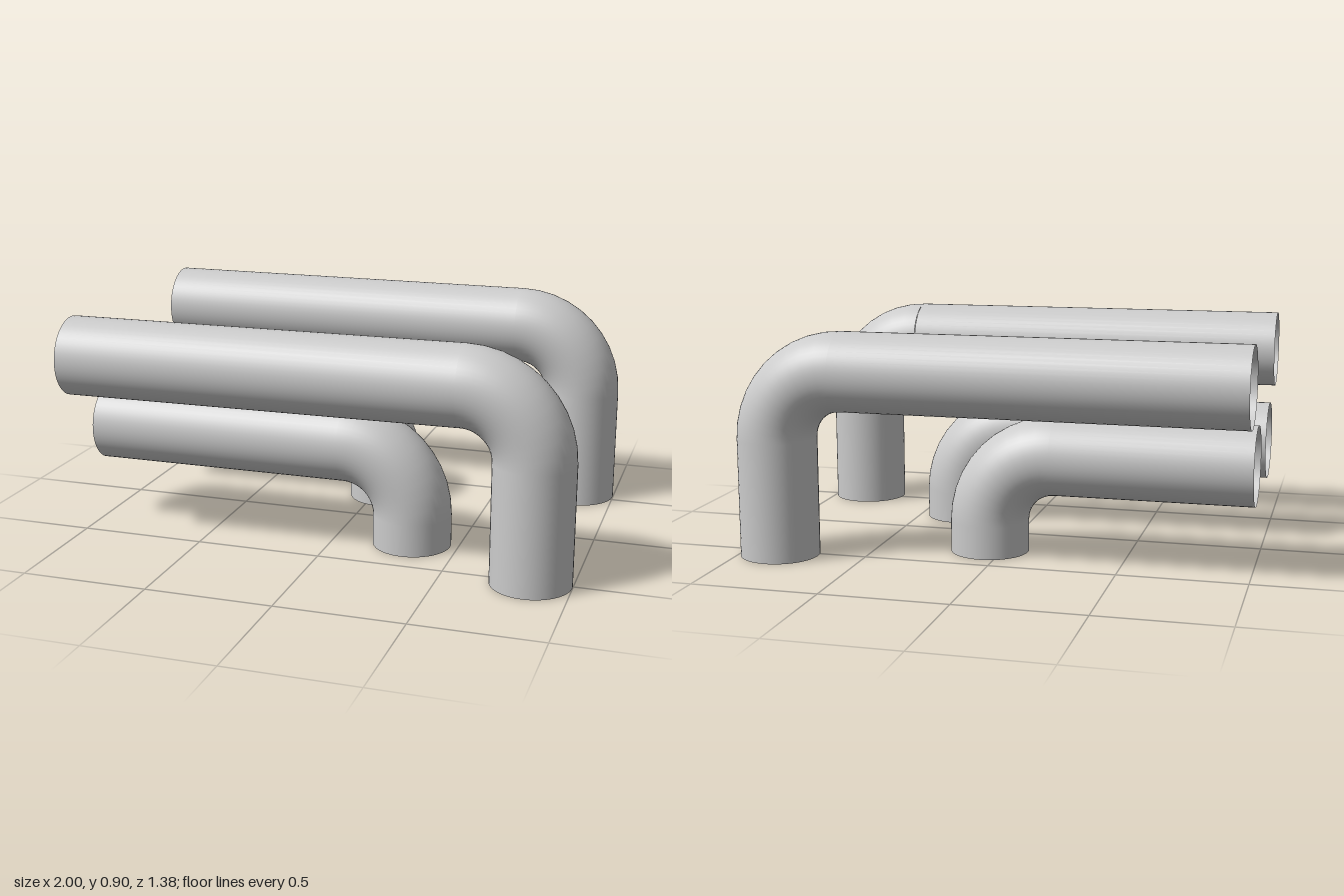
import * as THREE from 'three';

const RADIUS = 0.156; // outer pipe radius
const BORE = 0.104;   // hole in the foot rim
const BEND = 0.27;    // centreline radius of the elbow
const SIDES = 48;

const material = new THREE.MeshStandardMaterial({ color: 0xcccccc, side: THREE.DoubleSide });

function addMesh(group, name, geometry) {
  const mesh = new THREE.Mesh(geometry, material);
  mesh.name = name;
  group.add(mesh);
  return mesh;
}

// Open straight pipe between two points
function addRun(group, name, from, to) {
  const dir = to.clone().sub(from);
  const mesh = addMesh(group, name,
    new THREE.CylinderGeometry(RADIUS, RADIUS, dir.length(), SIDES, 1, true));
  mesh.position.copy(from).add(to).multiplyScalar(0.5);
  mesh.quaternion.setFromUnitVectors(new THREE.Vector3(0, 1, 0), dir.normalize());
}

// Pipe: long horizontal run, elbow, vertical leg and ring-shaped foot
function createPipe({ name, x, y, z, endZ = z }) {
  const pipe = new THREE.Group();
  pipe.name = name;
  const cx = x - BEND, cy = y - BEND;

  addRun(pipe, 'horizontalRun', new THREE.Vector3(-1, y, endZ), new THREE.Vector3(cx, y, z));
  addRun(pipe, 'verticalLeg', new THREE.Vector3(x, 0, z), new THREE.Vector3(x, cy, z));

  const elbow = addMesh(pipe, 'elbow',
    new THREE.TorusGeometry(BEND, RADIUS, SIDES, 10, Math.PI / 2));
  elbow.position.set(cx, cy, z);

  const rim = addMesh(pipe, 'footRim', new THREE.RingGeometry(BORE, RADIUS, SIDES));
  rim.rotation.x = Math.PI / 2;
  rim.position.set(x, 0, z);
  return pipe;
}

export function createModel() {
  const model = new THREE.Group();
  model.name = 'pipes';
  const pipes = [
    { name: 'frontTallPipe', x: 0.843, y: 0.74, z: 0.515, endZ: 0.535 },
    { name: 'backTallPipe', x: 0.843, y: 0.74, z: -0.535 },
    { name: 'frontLowPipe', x: 0.313, y: 0.397, z: 0.252 },
    { name: 'backLowPipe', x: 0.052, y: 0.397, z: -0.273 },
  ];
  for (const p of pipes) model.add(createPipe(p));
  return model;
}
